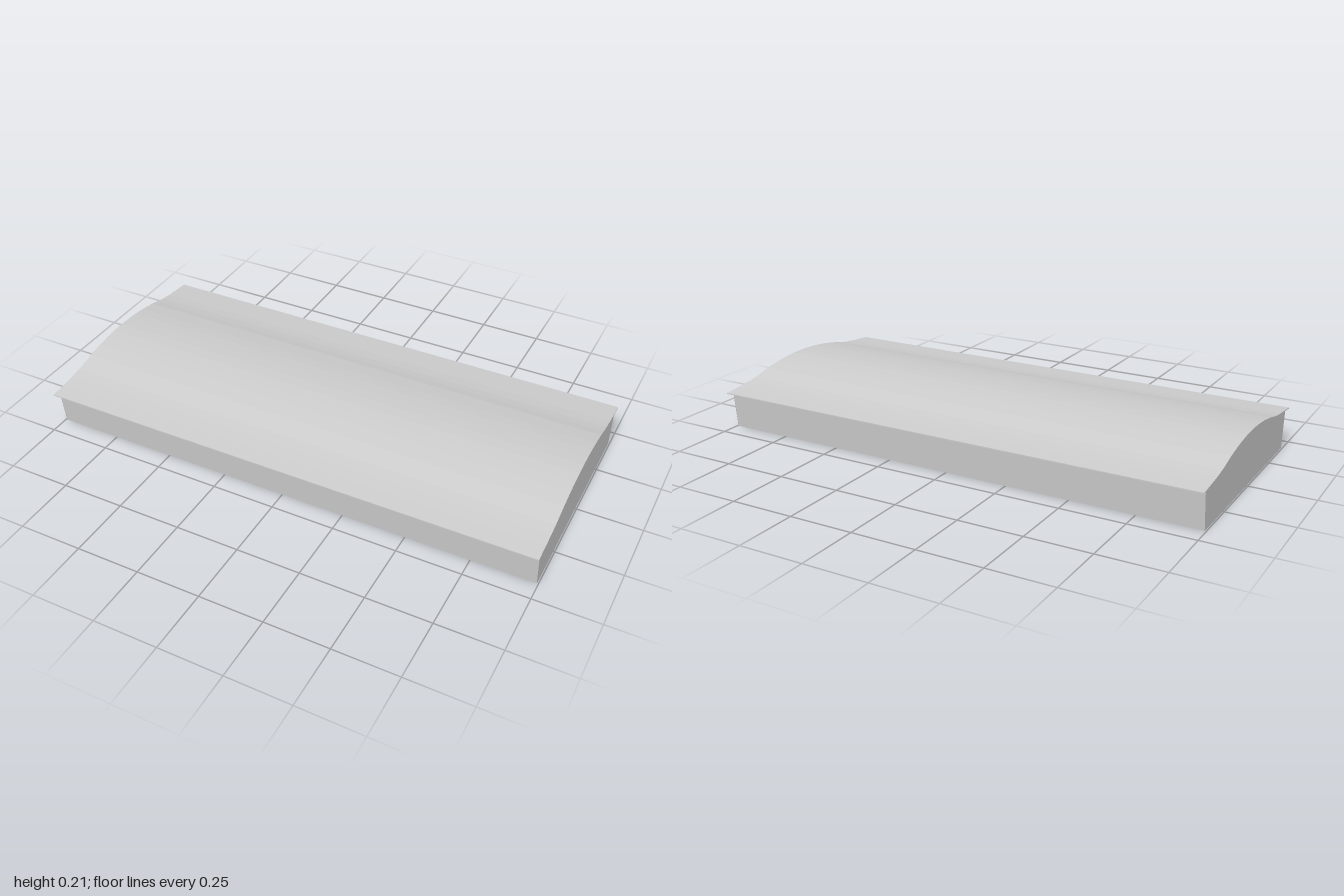
import * as THREE from 'three';

// right half of the roof's top line: [z, y], from the ridge to the eave
const ROOF = [
  [0, 0.213], [0.05, 0.2115], [0.1, 0.208], [0.15, 0.202], [0.22, 0.19],
  [0.26, 0.18], [0.3, 0.171], [0.35, 0.164], [0.4, 0.159], [0.467, 0.153],
];
const SHEET = 0.004;      // roof sheet thickness
const HALF = 0.995;       // half length of the body
const FLOOR_Y = 0.047;    // recessed underside
const BASE_Z = 0.423, EAVE_Z = 0.438, EAVE_Y = 0.152;
const INNER_Z = 0.401;    // inner face of the long walls

// full mirrored line from -z to +z, lowered by drop and cut at maxZ
function roofLine(drop, maxZ) {
  const half = ROOF.filter(([z]) => z <= maxZ).map(([z, y]) => [z, y - drop]);
  const left = half.slice(1).reverse().map(([z, y]) => [-z, y]);
  return [...left, ...half];
}

function shapeFrom(points) {
  return new THREE.Shape(points.map(([z, y]) => new THREE.Vector2(z, y)));
}

// section in z and y, drawn out along x and centred
function alongX(points, length) {
  return new THREE.ExtrudeGeometry(shapeFrom(points), { depth: length, bevelEnabled: false })
    .translate(0, 0, -length / 2).rotateY(-Math.PI / 2);
}

export function createModel() {
  const group = new THREE.Group();
  group.name = 'curvedRoof';
  const grey = new THREE.MeshStandardMaterial({ color: 0xcccccc, side: THREE.DoubleSide });
  grey.name = 'light grey';

  function add(name, geometry) {
    const mesh = new THREE.Mesh(geometry, grey);
    mesh.name = name;
    group.add(mesh);
    return mesh;
  }

  // curved roof sheet
  add('roofSheet', alongX([...roofLine(SHEET, 1), ...roofLine(0, 1).reverse()], 2));

  // end walls reaching up to the sheet
  const endShape = shapeFrom([
    [-BASE_Z, 0], [BASE_Z, 0], [EAVE_Z, EAVE_Y],
    ...roofLine(SHEET / 2, 0.41).reverse(), [-EAVE_Z, EAVE_Y],
  ]);
  for (const s of [1, -1]) {
    add(s > 0 ? 'leftEndWall' : 'rightEndWall',
      new THREE.ShapeGeometry(endShape).rotateY(s * Math.PI / 2).translate(s * HALF, 0, 0));
  }

  // thick long walls, leaning outwards, just clear of the end walls
  const wallSection = [[INNER_Z, 0], [BASE_Z, 0], [EAVE_Z, EAVE_Y], [INNER_Z, EAVE_Y]];
  const wall = alongX(wallSection, 2 * HALF - 0.002);
  add('frontWall', wall);
  add('backWall', wall).rotation.y = Math.PI;

  // recessed underside
  add('underside', new THREE.PlaneGeometry(2 * HALF, 2 * INNER_Z)
    .rotateX(Math.PI / 2).translate(0, FLOOR_Y, 0));

  return group;
}
